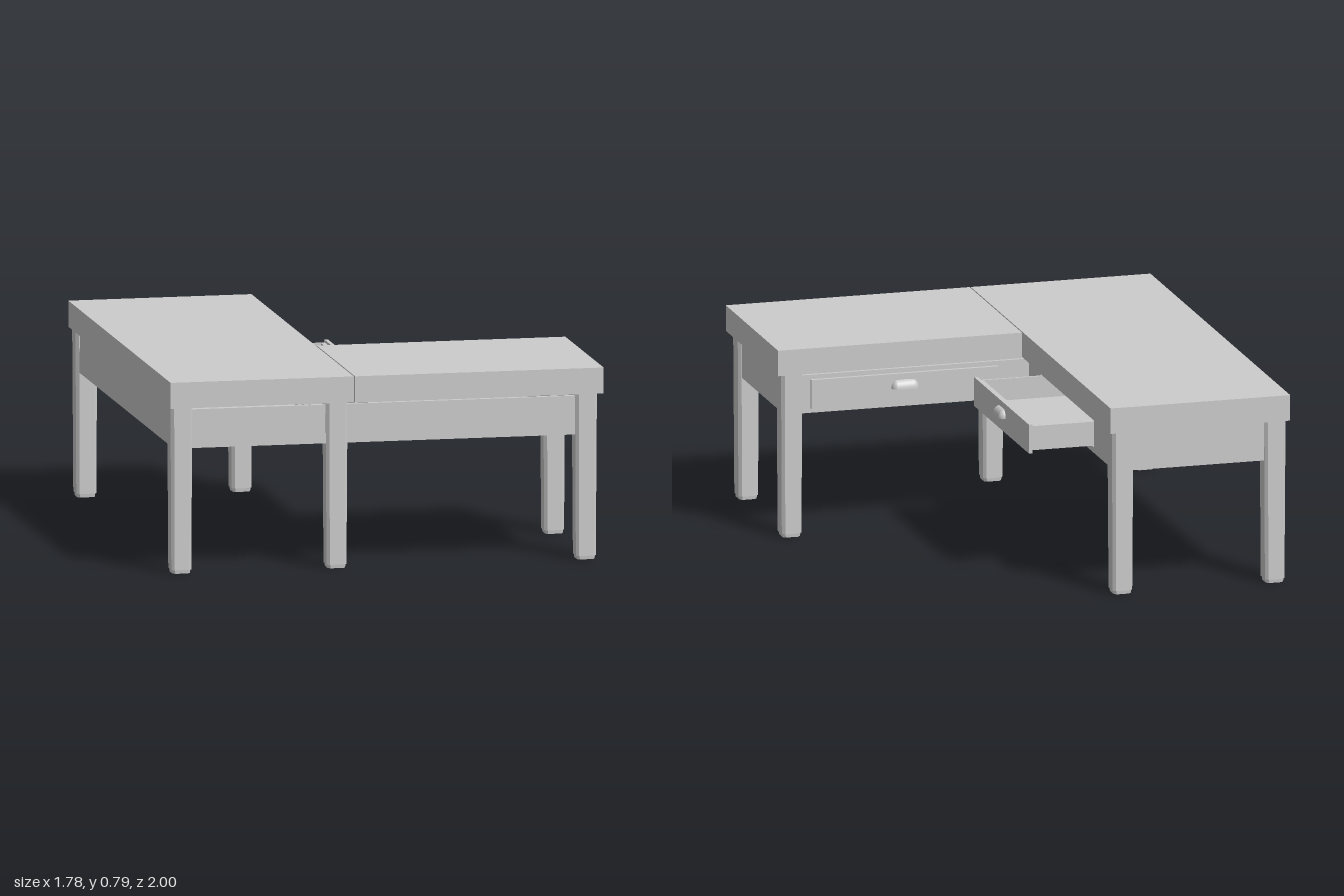
import * as THREE from 'three';

const grey = new THREE.MeshStandardMaterial({ color: 0xcccccc });
const greyThin = new THREE.MeshStandardMaterial({ color: 0xcccccc, side: THREE.DoubleSide });

// box given by its min and max corners
function box(name, x0, x1, y0, y1, z0, z1) {
  const mesh = new THREE.Mesh(new THREE.BoxGeometry(x1 - x0, y1 - y0, z1 - z0), grey);
  mesh.position.set((x0 + x1) / 2, (y0 + y1) / 2, (z0 + z1) / 2);
  mesh.name = name;
  return mesh;
}

// square prism with chamfered corners, tapering from w1 (top) to w0 (bottom)
function taperedPost(name, w0, w1, y0, y1) {
  const h = 0.5, c = 0.36;
  const shape = new THREE.Shape(
    [[h, c], [c, h], [-c, h], [-h, c], [-h, -c], [-c, -h], [c, -h], [h, -c]]
      .map(([x, y]) => new THREE.Vector2(x, y)));
  const geo = new THREE.ExtrudeGeometry(shape, { depth: 1, bevelEnabled: false });
  geo.rotateX(-Math.PI / 2);
  const p = geo.attributes.position;
  for (let i = 0; i < p.count; i++) {
    const t = p.getY(i), w = w0 + (w1 - w0) * t;
    p.setXYZ(i, p.getX(i) * w, y0 + (y1 - y0) * t, p.getZ(i) * w);
  }
  geo.computeVertexNormals();
  const mesh = new THREE.Mesh(geo, grey);
  mesh.name = name;
  return mesh;
}

function makeLeg(x, z) {
  const leg = new THREE.Group();
  leg.name = 'leg';
  leg.add(taperedPost('legPost', 0.082, 0.09, 0.015, 0.68));
  leg.add(taperedPost('foot', 0.072, 0.076, 0, 0.015));
  leg.position.set(x, 0, z);
  return leg;
}

// apron rail between two floor points, with an optional drawer opening
function makeRail(a, b, top, opening) {
  const dx = b[0] - a[0], dz = b[1] - a[1], len = Math.hypot(dx, dz);
  const rect = (P, x0, x1, y0, y1) =>
    new P([[x0, y0], [x1, y0], [x1, y1], [x0, y1]].map(([x, y]) => new THREE.Vector2(x, y)));
  const shape = rect(THREE.Shape, 0, len, 0.51, top);
  if (opening) shape.holes.push(rect(THREE.Path, opening - 0.385, opening + 0.385, 0.535, 0.645));
  const geo = new THREE.ExtrudeGeometry(shape, { depth: 0.02, bevelEnabled: false });
  geo.translate(0, 0, -0.02);
  const mesh = new THREE.Mesh(geo, grey);
  mesh.position.set(a[0], 0, a[1]);
  mesh.rotation.y = Math.atan2(-dz, dx);
  mesh.name = opening ? 'drawerRail' : 'apron';
  return mesh;
}

// cup pull: quarter-round shell with rounded ends, open below
function makeHandle() {
  const geo = new THREE.SphereGeometry(1, 8, 16, 0, Math.PI / 2);
  geo.rotateZ(-Math.PI / 2);
  geo.scale(0.027, 0.035, 0.026);
  const p = geo.attributes.position;
  for (let i = 0; i < p.count; i++) {
    const x = p.getX(i);
    if (Math.abs(x) > 1e-4) p.setX(i, x + Math.sign(x) * 0.03);
  }
  geo.computeVertexNormals();
  const mesh = new THREE.Mesh(geo, greyThin);
  mesh.position.y = 0.59;
  mesh.name = 'handle';
  return mesh;
}

// drawer facing local +z, outer face of its front at z = 0
function makeDrawer(name) {
  const g = new THREE.Group();
  g.name = name;
  g.add(box('drawerFront', -0.392, 0.392, 0.53, 0.65, -0.015, 0));
  g.add(box('drawerInnerFront', -0.38, 0.38, 0.54, 0.64, -0.033, -0.015));
  g.add(box('drawerBack', -0.38, 0.38, 0.54, 0.64, -0.56, -0.545));
  g.add(box('drawerBottom', -0.38, 0.38, 0.54, 0.55, -0.56, -0.015));
  for (const s of [-1, 1]) {
    const side = box('drawerSide', -0.005, 0.005, 0.54, 0.64, -0.56, -0.015);
    side.position.x = s * 0.375;
    g.add(side);
  }
  g.add(makeHandle());
  return g;
}

export function createModel() {
  const desk = new THREE.Group();
  desk.name = 'cornerDesk';

  // two table tops meeting in an L
  desk.add(box('mainTop', -0.89, -0.137, 0.68, 0.786, -1, 1));
  desk.add(box('returnTop', -0.132, 0.89, 0.68, 0.786, 0.25, 1));

  // legs
  for (const [x, z] of [[-0.838, 0.93], [-0.2, 0.93], [0.825, 0.93],
    [0.825, 0.31], [-0.838, -0.925], [-0.2, -0.925]]) desk.add(makeLeg(x, z));

  // aprons around the L-shaped outline; two of them hold drawers
  const outline = [[-0.868, 0.96], [0.855, 0.96], [0.855, 0.28],
    [-0.17, 0.28], [-0.17, -0.955], [-0.868, -0.955]];
  const openings = { 2: 0.5, 3: 0.5475 };
  outline.forEach((a, i) => {
    const b = outline[(i + 1) % outline.length];
    desk.add(makeRail(a, b, i % 2 ? 0.68 : 0.668, openings[i]));
  });

  // bottom panel closing the case
  const floor = new THREE.Shape(outline.map(([x, z]) => new THREE.Vector2(x, -z)));
  const panelGeo = new THREE.ExtrudeGeometry(floor, { depth: 0.012, bevelEnabled: false });
  panelGeo.rotateX(-Math.PI / 2);
  const panel = new THREE.Mesh(panelGeo, grey);
  panel.position.y = 0.51;
  panel.name = 'bottomPanel';
  desk.add(panel);

  // one drawer pulled open, one closed
  const open = makeDrawer('openDrawer');
  open.position.set(0.105, 0, -0.2675);
  open.rotation.y = Math.PI / 2;
  const closed = makeDrawer('closedDrawer');
  closed.position.set(0.355, 0, 0.263);
  closed.rotation.y = Math.PI;
  desk.add(open, closed);

  return desk;
}
